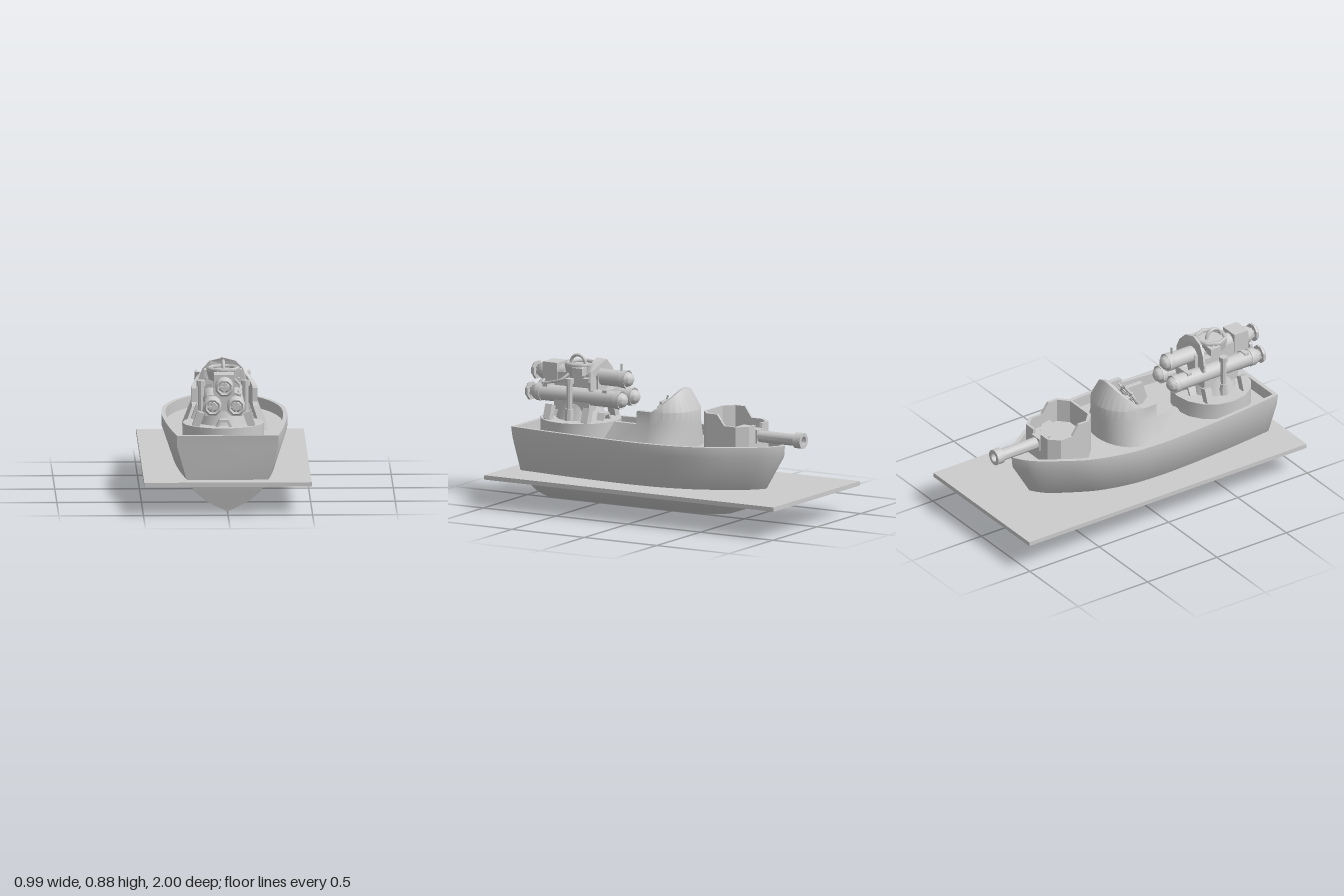
import * as THREE from 'three';
import { toCreasedNormals } from 'three/addons/utils/BufferGeometryUtils.js';

const mat = new THREE.MeshStandardMaterial({ color: 0xcccccc, side: THREE.DoubleSide });

function add(parent, name, geo, x = 0, y = 0, z = 0) {
  const m = new THREE.Mesh(geo, mat);
  m.name = name;
  m.position.set(x, y, z);
  parent.add(m);
  return m;
}
const box = (w, h, d) => new THREE.BoxGeometry(w, h, d);
const cyl = (r1, r2, h, n = 12) => toCreasedNormals(new THREE.CylinderGeometry(r1, r2, h, n), 0.6);
// Lathe about the z axis from [radius, z] pairs
const latheZ = (pts, n = 14) => toCreasedNormals(
  new THREE.LatheGeometry(pts.map(p => new THREE.Vector2(...p)), n).rotateX(Math.PI / 2), 0.6);

// Skin between rows of [x, y, z] points
function loft(rows, closed, crease = 0.5) {
  const n = rows[0].length, idx = [];
  for (let i = 0; i < rows.length - 1; i++)
    for (let j = 0; j < (closed ? n : n - 1); j++) {
      const a = i * n + j, b = i * n + (j + 1) % n;
      idx.push(a, b, b + n, a, b + n, a + n);
    }
  const g = new THREE.BufferGeometry();
  g.setAttribute('position', new THREE.Float32BufferAttribute(rows.flat(2), 3));
  g.setIndex(idx);
  return toCreasedNormals(g, crease);
}
// Continue a +x half path to the -x side
const mirror = half => [...half, ...half.filter(p => p[0] > 1e-6).reverse().map(([x, ...r]) => [-x, ...r])];

function hull() {
  // Plan outline: [fraction from stern to bow, fraction of full beam]
  const curve = new THREE.SplineCurve([[0, 0.81], [0.2, 0.92], [0.42, 0.995], [0.55, 1], [0.66, 0.95], [0.78, 0.79],
    [0.88, 0.53], [0.96, 0.26], [1, 0]].map(p => new THREE.Vector2(...p)));
  const plan = mirror(curve.getPoints(40).map(p => [Math.max(p.y, 0), p.x]));
  // [height, half beam, stern z, bow z]; the last rows form the bulwark and deck
  const levels = [[0, 0, 0.85, -0.25], [0.022, 0.06, 0.855, -0.4], [0.06, 0.15, 0.865, -0.51], [0.12, 0.235, 0.88, -0.59],
    [0.2, 0.3, 0.9, -0.655], [0.4, 0.37, 0.92, -0.775], [0.465, 0.37, 0.93, -0.78],
    [0.465, 0.345, 0.905, -0.75], [0.4, 0.345, 0.9, -0.75], [0.4, 0, 0.9, -0.75]];
  return loft(levels.map(([y, w, zs, zb]) => plan.map(([f, u]) => [f * w, y, zs + (zb - zs) * u])), true);
}

function bridge(g) {
  // Half path of the U-shaped wall: [x, z, top height]
  const half = [[0.25, 0.345, 0.4], [0.25, 0.28, 0.54], [0.25, 0.13, 0.54], [0.25, 0.125, 0.62], [0.25, 0.04, 0.62]];
  for (let i = 0; i <= 8; i++) {
    const a = i / 8 * Math.PI / 2, s = Math.sin(a);
    half.push([i === 8 ? 0 : 0.25 * Math.cos(a), 0.03 - 0.2 * s, 0.62 + 0.13 * s]);
  }
  const path = mirror(half);
  const row = (yCap, flare, thick) => path.map(([x, z, h]) => {
    const y = Math.min(h, yCap), k = Math.max(0, (y - 0.62) / 0.13);
    const f = 1 - flare * Math.min(1, (y - 0.4) / 0.14) * 0.22;
    const zi = z < 0.03 ? 0.03 + (z - 0.03) * (1 - thick * 0.15) : z;
    return [x * f * (1 - thick * 0.15) * (1 - 0.32 * k), y, 0.05 + (zi - 0.05) * (1 - 0.32 * k)];
  });
  const inner = path.map(([x, z]) => [x * 0.66, 0.4, z < 0.03 ? 0.03 + (z - 0.03) * 0.85 : z]);
  add(g, 'bridgeWall', loft([row(0.4, 1, 0), row(0.54, 1, 0), row(0.62, 1, 0), row(1, 1, 0), row(1, 1, 1),
    row(0.62, 1, 1), inner], false));
  add(g, 'bridgeFloor', cyl(0.125, 0.125, 0.02, 8), 0, 0.41, 0.21);
  add(g, 'helmConsole', box(0.08, 0.2, 0.06), 0, 0.49, 0);

  // Steering wheel with eight handled spokes
  const wheel = new THREE.Group();
  wheel.name = 'steeringWheel';
  wheel.position.set(0, 0.6, 0.065);
  wheel.rotation.x = -0.4;
  g.add(wheel);
  add(wheel, 'wheelRim', new THREE.TorusGeometry(0.068, 0.008, 6, 16));
  add(wheel, 'wheelHub', cyl(0.018, 0.018, 0.07, 8).rotateX(Math.PI / 2), 0, 0, -0.02);
  for (let i = 0; i < 4; i++)
    add(wheel, 'wheelSpoke', cyl(0.006, 0.006, 0.2, 6)).rotation.z = i * Math.PI / 4;
}

function bowGun(g) {
  // Hollow gun tub with high rear cheeks: [x, z, height]
  const half = [[0, -0.28, 0.645], [0.1, -0.28, 0.645], [0.165, -0.34, 0.645], [0.165, -0.41, 0.645],
    [0.165, -0.46, 0.58], [0.165, -0.54, 0.58], [0.11, -0.6, 0.58], [0.04, -0.6, 0.58], [0.035, -0.6, 0.53], [0, -0.6, 0.53]];
  const path = [...half, ...half.slice(1, -1).reverse().map(([x, z, h]) => [-x, z, h])];
  const row = (k, y) => path.map(([x, z, h]) => [x * k, y ?? h, -0.44 + (z + 0.44) * k]);
  add(g, 'gunTub', loft([row(1, 0.4), row(1), row(0.9), row(0.9, 0.5), row(0, 0.5)], true, 0.3));
  add(g, 'gunnerSeat', new THREE.CylinderGeometry(0.13, 0.13, 0.04, 6, 1, false, Math.PI / 2, Math.PI), 0, 0.52, -0.42);
  add(g, 'gunBreech', box(0.08, 0.08, 0.08), 0, 0.51, -0.57);
  add(g, 'gunBarrel', latheZ([[0, -0.8], [0.026, -0.8], [0.026, -0.91], [0.048, -0.91], [0.048, -0.86],
    [0.036, -0.86], [0.036, -0.58], [0, -0.58]]), 0, 0.508, 0);
}

function torpedo(g, x, y) {
  const t = new THREE.Group();
  t.name = 'torpedoTube';
  t.position.set(x, y, 0);
  g.add(t);
  add(t, 'tubeBody', latheZ([[0, 0.28], [0.02, 0.284], [0.036, 0.296], [0.045, 0.32], [0.055, 0.315], [0.055, 0.35],
    [0.05, 0.35], [0.05, 0.86], [0.054, 0.86], [0.054, 0.89], [0.042, 0.915], [0.025, 0.935], [0, 0.935]]));
  // Octagonal propeller guard
  add(t, 'propellerGuard', latheZ([[0.034, 0.935], [0.056, 0.935], [0.056, 0.948], [0.044, 0.96], [0.034, 0.955],
    [0.034, 0.935]], 8).rotateZ(Math.PI / 8));
  for (const a of [0, Math.PI / 2])
    add(t, 'propellerBlade', box(0.075, 0.01, 0.01), 0, 0, 0.945).rotation.z = a;
}

function launcher(g) {
  const l = new THREE.Group();
  l.name = 'torpedoLauncher';
  l.position.x = -0.02;
  g.add(l);
  const Z = 0.64;
  add(l, 'turntable', cyl(0.242, 0.242, 0.1, 16), 0, 0.45, Z);
  add(l, 'pedestal', cyl(0.12, 0.15, 0.1, 12), 0, 0.545, Z);
  add(l, 'cradle', box(0.22, 0.06, 0.24), 0, 0.585, Z);
  add(l, 'cradleCore', box(0.11, 0.18, 0.3), 0, 0.68, Z);

  // Trapezoid feet around the pedestal
  const foot = new THREE.Shape([[-0.048, 0], [-0.03, 0], [-0.018, 0.028], [0.018, 0.028], [0.03, 0], [0.048, 0],
    [0.026, 0.042], [-0.026, 0.042]].map(p => new THREE.Vector2(...p)));
  const footGeo = new THREE.ExtrudeGeometry(foot, { depth: 0.06, bevelEnabled: false });
  for (const s of [-1, 1]) add(l, 'endFoot', footGeo, 0, 0.5, Z - 0.03 + s * 0.15);
  for (const sx of [-1, 1]) {
    for (const sz of [-1, 1]) {
      const b = add(l, 'cradleFoot', box(0.045, 0.09, 0.045), sx * 0.15, 0.54, Z + sz * 0.13);
      b.rotation.z = sx * 0.35;
    }
    // Side posts with caps
    add(l, 'sidePost', cyl(0.017, 0.017, 0.24, 8), sx * 0.132, 0.62, Z);
    add(l, 'postCap', cyl(0.026, 0.026, 0.032, 8), sx * 0.132, 0.735, Z);
    add(l, 'postFoot', cyl(0.024, 0.03, 0.07, 8), sx * 0.132, 0.535, Z);
    add(l, 'sideBox', box(0.05, 0.045, 0.07), sx * 0.087, 0.79, 0.6);
    add(l, 'crossBracket', box(0.04, 0.035, 0.05), sx * 0.08, 0.735, 0.55);
  }

  torpedo(l, -0.07, 0.64);
  torpedo(l, 0.07, 0.64);
  torpedo(l, 0, 0.755);
  for (const z of [0.42, 0.83]) add(l, 'tubeClamp', box(0.2, 0.05, 0.03), 0, 0.67, z);
  add(l, 'rearBox', box(0.12, 0.12, 0.1), 0, 0.76, 0.82);
  add(l, 'sightPin', cyl(0.008, 0.008, 0.05, 6), 0, 0.82, 0.36);

  // Gunner's hatch with ring and hoop
  add(l, 'hatchBase', cyl(0.1, 0.085, 0.06, 8), 0, 0.785, Z);
  add(l, 'hatchRing', new THREE.TorusGeometry(0.088, 0.013, 6, 8).rotateX(Math.PI / 2), 0, 0.822, Z);
  add(l, 'hatchHoop', new THREE.TorusGeometry(0.05, 0.01, 8, 12, Math.PI).rotateY(Math.PI / 2), 0, 0.82, 0.66);

  // Curved shield
  const side = [[0, 0.868], [0.075, 0.848], [0.12, 0.8], [0.142, 0.74], [0.14, 0.69], [0.06, 0.67]];
  const outline = [...side, ...side.slice(1).reverse().map(([x, y]) => [-x, y])].reverse();
  const shield = new THREE.ExtrudeGeometry(new THREE.Shape(outline.map(p => new THREE.Vector2(...p))),
    { depth: 0.014, bevelEnabled: false });
  const p = shield.attributes.position;
  for (let i = 0; i < p.count; i++) p.setZ(i, p.getZ(i) - 1.2 * p.getX(i) ** 2);
  shield.computeVertexNormals();
  add(l, 'shield', shield, 0, 0, 0.515);

  // Hydraulic hose
  const path = [[0.06, 0.77, 0.68], [0.1, 0.73, 0.72], [0.09, 0.71, 0.79], [0.09, 0.7, 0.85], [0.04, 0.72, 0.86]];
  add(l, 'hose', new THREE.TubeGeometry(new THREE.CatmullRomCurve3(path.map(q => new THREE.Vector3(...q))), 20, 0.009, 6));
}

export function createModel() {
  const g = new THREE.Group();
  g.name = 'torpedoBoat';
  add(g, 'hull', hull());
  add(g, 'waterPlane', box(0.99, 0.026, 2), 0, 0.183, 0);
  bridge(g);
  bowGun(g);
  launcher(g);
  return g;
}
